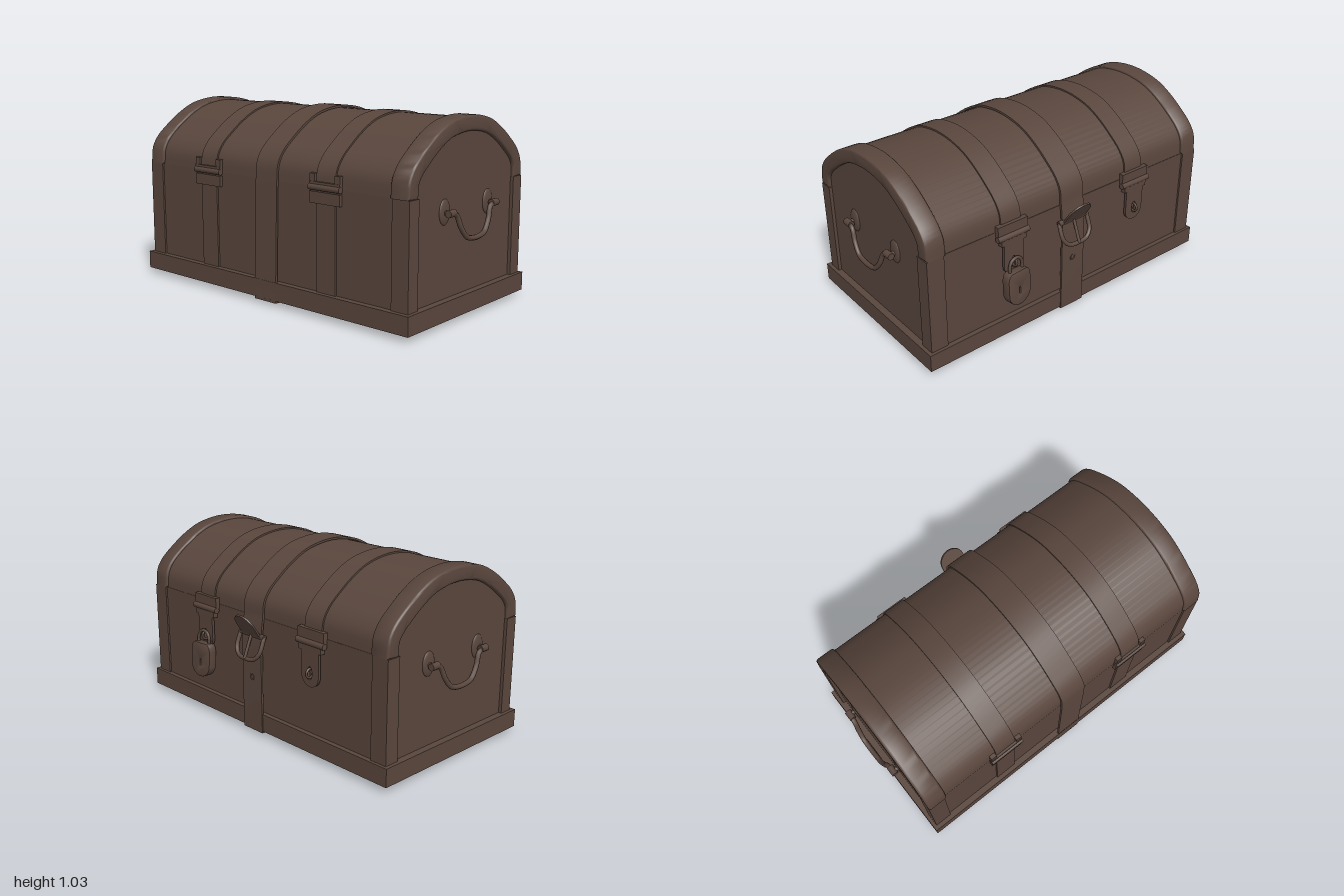
import * as THREE from 'three';
import { toCreasedNormals } from 'three/addons/utils/BufferGeometryUtils.js';

const brown = new THREE.MeshStandardMaterial({ color: 0x59463d });
brown.name = 'darkBrown';
const ZC = 0.04; // middle of the chest body along z
const SEAM = 0.67; // height where lid meets body
const FRONT = 0.535, BACK = -0.458;
const V2 = (x, y) => new THREE.Vector2(x, y);
const V3 = (x, y, z) => new THREE.Vector3(x, y, z);

export function createModel() {
  const root = new THREE.Group();
  root.name = 'chest';

  function add(name, geo, x = 0, y = 0, z = 0, parent = root) {
    const m = new THREE.Mesh(geo, brown);
    m.name = name;
    m.position.set(x, y, z);
    parent.add(m);
    return m;
  }
  // box given by its limits
  function block(name, x0, x1, y0, y1, z0, z1, parent = root) {
    return add(name, new THREE.BoxGeometry(x1 - x0, y1 - y0, z1 - z0),
      (x0 + x1) / 2, (y0 + y1) / 2, (z0 + z1) / 2, parent);
  }
  // extrude a (z, y) outline between two x values
  function across(name, pts, x0, x1, bevel = 0) {
    const geo = new THREE.ExtrudeGeometry(new THREE.Shape(pts), {
      depth: x1 - x0 - 2 * bevel, bevelEnabled: bevel > 0, bevelSize: bevel,
      bevelThickness: bevel, bevelOffset: -bevel, bevelSegments: 4,
    });
    geo.rotateY(-Math.PI / 2);
    return add(name, toCreasedNormals(geo, 0.6), x1 - bevel);
  }
  // strip of thickness t lying inside a (z, y) path
  function ribbon(name, pts, t, x0, x1, bevel) {
    const inner = pts.map((p, i) => {
      const a = pts[Math.max(i - 1, 0)], b = pts[Math.min(i + 1, pts.length - 1)];
      const d = b.clone().sub(a).normalize();
      return V2(p.x + d.y * t, p.y - d.x * t);
    });
    return across(name, [...pts, ...inner.reverse()], x0, x1, bevel);
  }
  // flat plate with a rounded lower end, optional slot
  function plate(w, top, bottom, depth, slot) {
    const s = new THREE.Shape(), r = w / 2;
    s.moveTo(r, top);
    s.lineTo(-r, top);
    s.lineTo(-r, bottom + r);
    s.absarc(0, bottom + r, r, Math.PI, 2 * Math.PI, false);
    s.lineTo(r, top);
    if (slot) {
      const h = new THREE.Path();
      h.absellipse(0, slot, 0.016, 0.036, 0, 2 * Math.PI, true);
      s.holes.push(h);
    }
    return toCreasedNormals(new THREE.ExtrudeGeometry(s, { depth, bevelEnabled: false, curveSegments: 12 }), 0.6);
  }

  // lid arch, from back to front, grown or shrunk by o
  const half = [[0.51, 0.67], [0.5, 0.76], [0.46, 0.825], [0.39, 0.885], [0.3, 0.948], [0.2, 0.998], [0.1, 1.022], [0, 1.03]];
  const full = [...half.map(([d, y]) => [-d, y]), ...half.slice(0, -1).reverse()];
  const arch = (o) => new THREE.CatmullRomCurve3(full.map(([d, y]) =>
    V3(ZC + d * (1 + o / 0.51), SEAM + (y - SEAM) * (1 + o / 0.36), 0))).getPoints(42).map((p) => V2(p.x, p.y));

  // body, base and lid
  block('base', -0.963, 0.963, 0.03, 0.13, -0.485, 0.57);
  block('body', -0.925, 0.925, 0.1, SEAM, BACK, FRONT);
  across('lid', arch(-0.014), -0.925, 0.925);

  for (const s of [-1, 1]) {
    const lo = s > 0 ? 0.83 : -0.943, hi = s > 0 ? 0.943 : -0.83;
    ribbon('lidEndTrim', arch(0), 0.08, lo, hi, 0.014);
    block('frontCornerPost', lo + (s > 0 ? 0.012 : 0), hi - (s < 0 ? 0.012 : 0), 0.12, SEAM, 0.468, 0.545);
    block('backCornerPost', lo + (s > 0 ? 0.012 : 0), hi - (s < 0 ? 0.012 : 0), 0.12, SEAM, -0.468, -0.385);

    // carrying handle
    const handle = new THREE.Group();
    handle.name = 'handle';
    root.add(handle);
    for (const e of [-1, 1]) {
      const disc = add('handlePlate', new THREE.SphereGeometry(1, 24, 12), s * 0.925, 0.57, ZC + e * 0.195, handle);
      disc.scale.set(0.014, 0.066, 0.045);
      const knob = add('handleKnob', new THREE.CylinderGeometry(0.019, 0.019, 0.052, 12), s * 0.965, 0.568, ZC + e * 0.195, handle);
      knob.rotation.x = Math.PI / 2;
      const post = add('handlePost', new THREE.CylinderGeometry(0.014, 0.014, 0.045, 10), s * 0.948, 0.568, ZC + e * 0.2, handle);
      post.rotation.z = Math.PI / 2;
    }
    const bow = [[-0.19, 0.568], [-0.155, 0.555], [-0.125, 0.49], [-0.08, 0.436], [-0.03, 0.423]];
    const bowPts = [...bow, ...bow.map(([d, y]) => [-d, y]).reverse()]
      .map(([d, y]) => V3(s * (0.968 + (0.568 - y) * 0.12), y, ZC + d));
    add('handleBow', new THREE.TubeGeometry(new THREE.CatmullRomCurve3(bowPts), 40, 0.0135, 10), 0, 0, 0, handle);
  }

  // narrow bands with front hinges and back hasps
  for (const x of [-0.435, 0.43]) {
    ribbon('lidBand', arch(-0.005), 0.025, x - 0.063, x + 0.063);
    block('frontBand', x - 0.063, x + 0.063, 0.13, 0.64, 0.52, 0.545);

    block('hingePlate', x - 0.1, x + 0.1, 0.59, 0.65, 0.53, 0.555);
    const barrel = add('hingeBarrel', new THREE.CylinderGeometry(0.017, 0.017, 0.205, 12), x, 0.672, 0.55);
    barrel.rotation.z = Math.PI / 2;
    for (const e of [-1, 1]) {
      block('hingeEar', x + e * 0.083 - 0.017, x + e * 0.083 + 0.017, 0.66, 0.74, 0.53, 0.552);
    }
    block('hingeBar', x - 0.1, x + 0.1, 0.675, 0.7, 0.53, 0.556);

    block('haspPlate', x - 0.095, x + 0.095, 0.645, 0.705, -0.482, -0.455);
    const pin = add('haspPin', new THREE.CylinderGeometry(0.017, 0.017, 0.2, 12), x, 0.635, -0.48);
    pin.rotation.z = Math.PI / 2;
    block('haspLeaf', x - 0.08, x + 0.08, 0.59, 0.63, -0.49, -0.462);
    add('hasp', plate(0.125, 0.61, 0.4, 0.015, 0.475), x, 0, -0.488);
    const staple = add('staple', new THREE.TorusGeometry(0.024, 0.007, 8, 20), x, 0.475, -0.487);
    staple.rotation.y = Math.PI / 2;
  }

  // padlock on the left hasp
  const lock = new THREE.Group();
  lock.name = 'padlock';
  lock.position.set(0.43, 0.43, -0.505);
  lock.rotation.set(0.06, 0.08, 0);
  root.add(lock);
  const lockShape = new THREE.Shape();
  lockShape.moveTo(0.05, 0);
  lockShape.lineTo(-0.05, 0);
  lockShape.quadraticCurveTo(-0.072, -0.01, -0.072, -0.05);
  lockShape.lineTo(-0.072, -0.12);
  lockShape.absarc(0, -0.12, 0.072, Math.PI, 2 * Math.PI, false);
  lockShape.lineTo(0.072, -0.05);
  lockShape.quadraticCurveTo(0.072, -0.01, 0.05, 0);
  const keyhole = new THREE.Path();
  keyhole.absellipse(0, -0.11, 0.009, 0.026, 0, 2 * Math.PI, true);
  lockShape.holes.push(keyhole);
  const lockGeo = new THREE.ExtrudeGeometry(lockShape, { depth: 0.042, bevelThickness: 0.005, bevelSize: 0.004, bevelSegments: 2 });
  add('padlockBody', toCreasedNormals(lockGeo, 0.6), 0, 0, -0.021, lock);
  const bowCurve = new THREE.CatmullRomCurve3([[-0.042, -0.01], [-0.044, 0.03], [-0.028, 0.062], [0, 0.073],
    [0.028, 0.062], [0.044, 0.03], [0.042, -0.01]].map(([x, y]) => V3(x, y, 0)));
  add('padlockShackle', new THREE.TubeGeometry(bowCurve, 28, 0.009, 10), 0, 0, 0, lock);

  // leather strap running all the way round
  const S0 = -0.055, S1 = 0.1, SX = (S0 + S1) / 2;
  ribbon('strap', [V2(-0.49, 0.02), V2(-0.49, 0.3), V2(-0.487, 0.55), V2(-0.478, 0.64),
    ...arch(0.002), V2(0.555, 0.6), V2(0.563, 0.3), V2(0.572, 0.018)], 0.012, S0, S1);
  across('strapUnderside', [V2(0.572, 0.018), V2(0.3, 0.003), V2(0.04, 0), V2(-0.25, 0.006), V2(-0.49, 0.02),
    V2(-0.49, 0.032), V2(0.04, 0.012), V2(0.572, 0.032)], S0, S1);
  const hole = add('strapHole', new THREE.TorusGeometry(0.015, 0.004, 6, 18), SX, 0.33, -0.49);
  hole.scale.z = 0.6;

  // strap end flaring away from the chest
  const tongue = add('strapTongue', plate(0.15, 0.19, 0, 0.01), SX, 0.69, -0.568);
  tongue.rotation.set(-0.56, 0, Math.PI, 'XYZ');

  // buckle
  const buckle = new THREE.Group();
  buckle.name = 'buckle';
  buckle.position.set(SX, 0.515, -0.503);
  buckle.rotation.x = 0.38;
  root.add(buckle);
  const ring = new THREE.CatmullRomCurve3([[-0.09, 0.06], [0.09, 0.06], [0.097, 0.03], [0.092, -0.03], [0.06, -0.066],
    [0, -0.074], [-0.06, -0.066], [-0.092, -0.03], [-0.097, 0.03]].map(([x, y]) => V3(x, y, 0)), true);
  add('buckleRing', new THREE.TubeGeometry(ring, 60, 0.012, 10, true), 0, 0, 0, buckle);
  add('bucklePin', new THREE.CylinderGeometry(0.009, 0.009, 0.14, 10), 0, -0.005, -0.008, buckle);
  const bar = add('buckleBar', new THREE.CylinderGeometry(0.014, 0.014, 0.2, 12), 0, 0.062, 0, buckle);
  bar.rotation.z = Math.PI / 2;

  return root;
}
